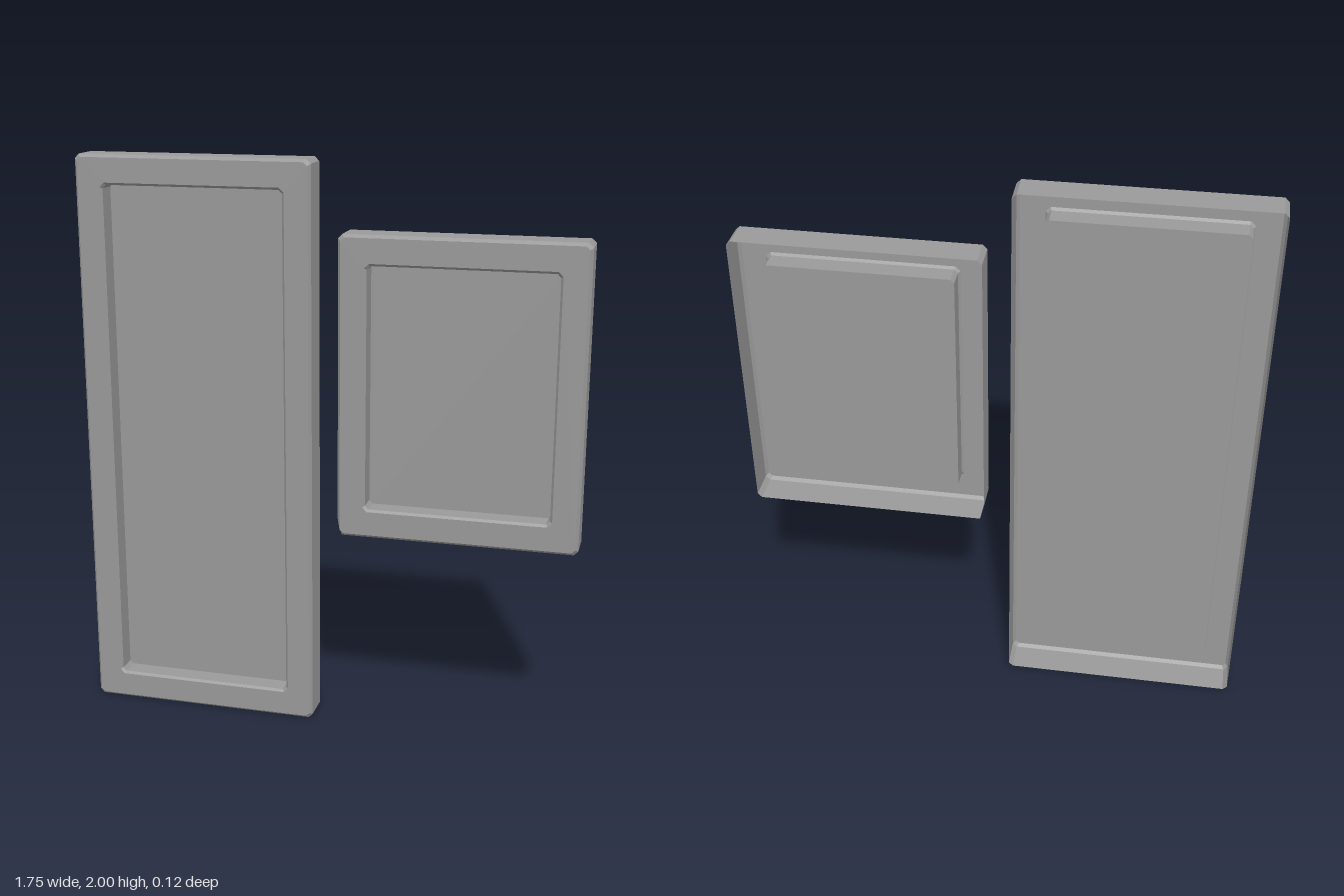
import * as THREE from 'three';

const BACK = -0.058, FRONT = 0.058, RECESS = -0.016;

// Rectangle with cut corners, counter-clockwise seen from +z.
// tall is the height of the cut at the lower left corner.
function ring([x0, x1, y0, y1], insetX, insetY, cut, z, tall = cut) {
  const l = x0 + insetX, r = x1 - insetX, b = y0 + insetY, t = y1 - insetY;
  return [
    [l + cut, b], [r - cut, b], [r, b + cut], [r, t - cut],
    [r - cut, t], [l + cut, t], [l, t - cut], [l, b + tall],
  ].map(([x, y]) => [x, y, z]);
}

// Joins consecutive rings with flat quads and caps the last one.
function loft(rings) {
  const pos = [];
  for (let i = 0; i < rings.length - 1; i++) {
    const a = rings[i], b = rings[i + 1];
    for (let j = 0; j < a.length; j++) {
      const k = (j + 1) % a.length;
      pos.push(...a[j], ...a[k], ...b[k], ...a[j], ...b[k], ...b[j]);
    }
  }
  const cap = rings[rings.length - 1];
  for (let j = 1; j < cap.length - 1; j++) pos.push(...cap[0], ...cap[j], ...cap[j + 1]);
  const geo = new THREE.BufferGeometry();
  geo.setAttribute('position', new THREE.Float32BufferAttribute(pos, 3));
  geo.computeVertexNormals();
  return geo;
}

// Open-backed shell: side walls, bevelled rim, framed face and sunken panel
function panel(name, box, material, tall) {
  const mesh = new THREE.Mesh(loft([
    ring(box, 0, 0, 0.015, BACK, tall),
    ring(box, 0, 0, 0.015, FRONT - 0.012, tall),
    ring(box, 0.01, 0.01, 0.012, FRONT),
    ring(box, 0.09, 0.094, 0.016, FRONT),
    ring(box, 0.098, 0.102, 0.012, FRONT - 0.008),
    ring(box, 0.098, 0.102, 0.012, RECESS),
  ]), material);
  mesh.name = name;
  return mesh;
}

export function createModel() {
  const group = new THREE.Group();
  group.name = 'cabinetPanels';
  const grey = new THREE.MeshStandardMaterial({
    color: 0x9a9a9a, flatShading: true, side: THREE.DoubleSide,
  });
  group.add(panel('tallPanel', [-0.876, -0.046, 0, 2], grey));
  // the short panel has a longer cut at its lower inner corner
  group.add(panel('shortPanel', [0.046, 0.876, 0.717, 1.762], grey, 0.06));
  return group;
}
